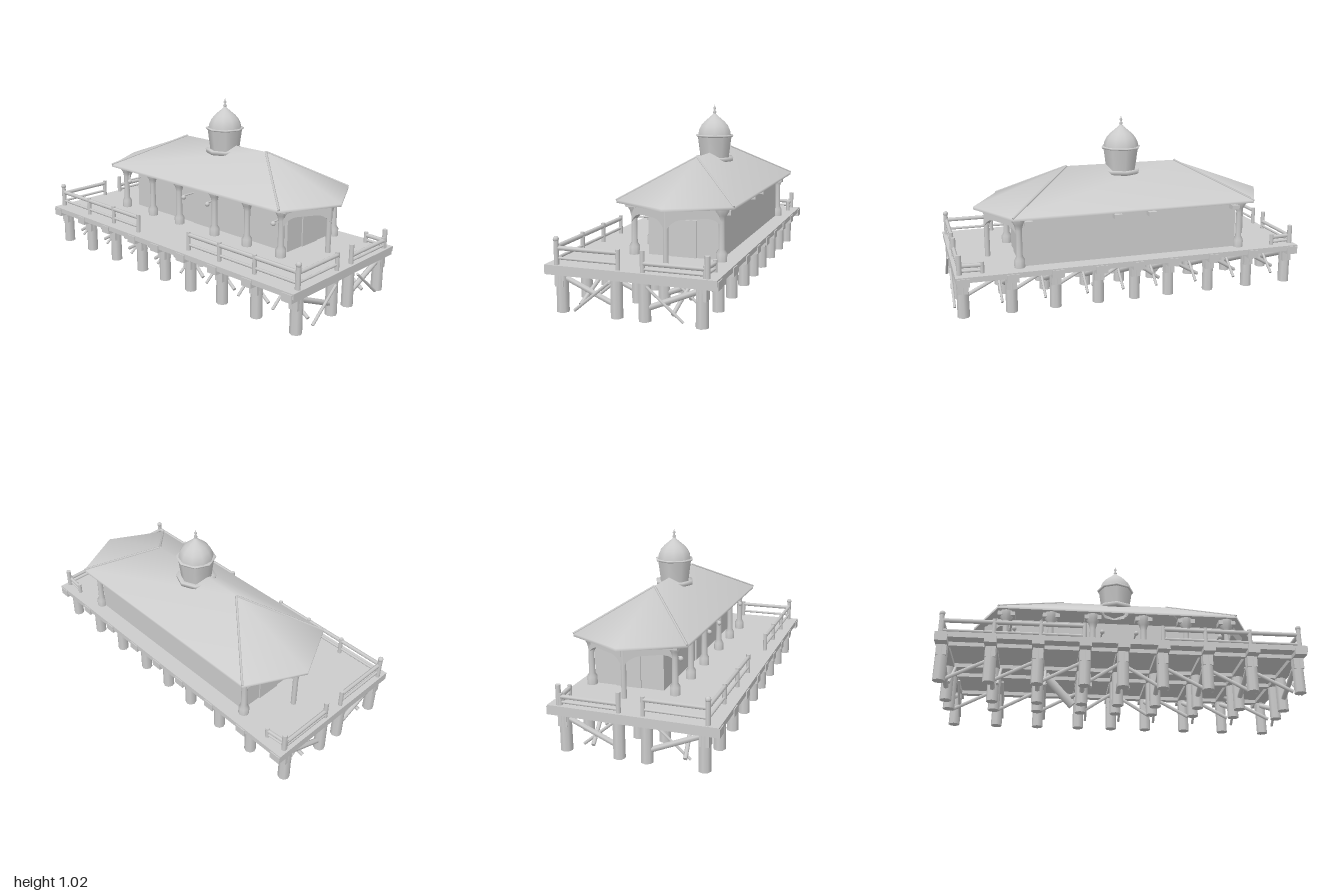
import * as THREE from 'three';

export function createModel() {
  const root = new THREE.Group();
  const grey = new THREE.MeshStandardMaterial({ color: 0xcccccc, side: THREE.DoubleSide });
  grey.name = 'plain grey';

  const add = (name, geometry, x = 0, y = 0, z = 0, parent = root) => {
    const m = new THREE.Mesh(geometry, grey);
    m.name = name;
    m.position.set(x, y, z);
    parent.add(m);
    return m;
  };
  const group = (name) => {
    const g = new THREE.Group();
    g.name = name;
    root.add(g);
    return g;
  };
  const box = (name, w, h, d, x, y, z, parent) =>
    add(name, new THREE.BoxGeometry(w, h, d), x, y, z, parent);
  // Round timber between two points
  const rod = (name, a, b, r, parent, sides = 6) => {
    const p = new THREE.Vector3(...a), q = new THREE.Vector3(...b);
    const m = add(name, new THREE.CylinderGeometry(r, r, p.distanceTo(q), sides), 0, 0, 0, parent);
    m.position.copy(p).add(q).multiplyScalar(0.5);
    m.quaternion.setFromUnitVectors(new THREE.Vector3(0, 1, 0), q.sub(p).normalize());
    return m;
  };
  const lathe = (points, sides) =>
    new THREE.LatheGeometry(points.map(([r, y]) => new THREE.Vector2(r, y)), sides);

  // Deck and its joists
  const deck = group('deck');
  box('deckFloor', 2, 0.03, 0.91, 0, 0.237, 0, deck);
  const columns = [-0.965, -0.71, -0.46, -0.21, -0.005, 0.21, 0.455, 0.7, 0.96];
  const rows = [0.375, 0.075, -0.075, -0.37];
  for (const x of columns) box('crossBeam', 0.065, 0.045, 0.92, x, 0.222, 0, deck);
  for (const z of rows) box('longBeam', 1.98, 0.03, 0.03, 0, 0.215, z, deck);

  // Piles
  const piles = group('piles');
  for (const x of columns) {
    for (const z of rows) {
      add('pile', new THREE.CylinderGeometry(0.032, 0.033, 0.2, 8), x, 0.105, z, piles);
      if (Math.abs(z) > 0.2) box('pileCap', 0.055, 0.06, 0.05, x, 0.17, z + Math.sign(z) * 0.005, piles);
    }
  }
  rod('leaningPile', [-0.42, 0.19, 0.03], [-0.26, 0.02, 0.01], 0.025, piles, 8);

  // Diagonal braces under the deck
  const braces = group('braces');
  for (const x of columns) {
    for (const s of [1, -1]) {
      rod('crossBrace', [x, 0.185, s * 0.36], [x, 0.075, s * 0.1], 0.015, braces);
      rod('thinBrace', [x + 0.04, 0.03, s * 0.29], [x + 0.04, 0.19, s * 0.1], 0.008, braces);
    }
  }
  for (let i = 0; i < columns.length - 1; i++) {
    const left = i < 4;
    const high = left ? columns[i + 1] : columns[i];
    const low = left ? columns[i] : columns[i + 1];
    for (const z of [0.255, -0.24]) {
      rod('longBrace', [high, 0.2, z - 0.02], [low, 0.05, z + 0.02], 0.011, braces);
    }
  }

  // House walls and front door
  const house = group('house');
  box('walls', 1.26, 0.285, 0.4, 0, 0.39, -0.16, house);
  box('frontDoor', 0.17, 0.25, 0.008, -0.015, 0.375, 0.043, house);
  for (const s of [-1, 1]) box('endDoor', 0.008, 0.2, 0.14, s * 0.633, 0.35, -0.16, house);
  const lampShape = new THREE.SphereGeometry(0.014, 8, 6);
  for (const x of [-0.61, -0.1, 0.1, 0.6]) {
    add('lamp', lampShape, x, 0.435, 0.13, house);
    rod('lampArm', [x, 0.445, 0.04], [x, 0.445, 0.13], 0.005, house);
    box('backBracket', 0.045, 0.025, 0.05, x, 0.5, -0.385, house);
  }

  // Porch posts with a broad foot and flared head
  const porch = group('porch');
  const postShape = lathe([[0.03, 0.25], [0.03, 0.295], [0.018, 0.315], [0.017, 0.46],
    [0.025, 0.49], [0.04, 0.515], [0.04, 0.545]], 8);
  for (const x of [-0.66, -0.4, -0.155, 0.145, 0.4, 0.645]) {
    add('frontPost', postShape, x, 0, 0.115, porch);
    box('postHead', 0.1, 0.025, 0.06, x, 0.525, 0.115, porch);
  }
  for (const s of [-1, 1]) {
    add('backPost', postShape, s * 0.65, 0, -0.37, porch);
    rod('endPost', [s * 0.79, 0.25, -0.12], [s * 0.79, 0.55, -0.12], 0.015, porch, 8);
    for (const z of [0.115, -0.37]) {
      // Arched lintel from the corner post to the end post
      const dx = 0.14, dz = -0.12 - z, len = Math.hypot(dx, dz);
      const arch = new THREE.Shape();
      arch.moveTo(0, 0.545);
      arch.lineTo(0, 0.43);
      arch.quadraticCurveTo(0.03, 0.475, 0.08, 0.478);
      arch.lineTo(len - 0.08, 0.478);
      arch.quadraticCurveTo(len - 0.03, 0.475, len, 0.43);
      arch.lineTo(len, 0.545);
      const g = new THREE.ExtrudeGeometry(arch, { depth: 0.03, bevelEnabled: false, curveSegments: 5 });
      g.translate(0, 0, -0.015);
      const m = add('archedLintel', g, s * 0.65, 0, z, porch);
      m.rotation.y = Math.atan2(-dz, s * dx);
    }
  }

  // Hipped roof with pointed ends and a shallow eave
  const roof = group('roof');
  const eave = [[-0.705, 0.197], [0.69, 0.197], [0.86, -0.125], [0.69, -0.445], [-0.705, -0.445], [-0.87, -0.125]];
  const ridge = [[-0.33, 0.745, -0.125], [0.325, 0.745, -0.125]];
  const vertices = [...ridge, ...eave.map(([x, z]) => [x, 0.545, z]), ...eave.map(([x, z]) => [x, 0.53, z])];
  const index = [2, 3, 1, 2, 1, 0, 3, 4, 1, 4, 5, 1, 5, 6, 0, 5, 0, 1, 6, 7, 0, 7, 2, 0];
  for (let i = 0; i < 6; i++) {
    const j = (i + 1) % 6;
    index.push(8 + i, 8 + j, 2 + j, 8 + i, 2 + j, 2 + i);
  }
  const shell = new THREE.BufferGeometry();
  shell.setAttribute('position', new THREE.Float32BufferAttribute(vertices.flat(), 3));
  shell.setIndex(index);
  shell.computeVertexNormals();
  add('roofShell', shell, 0, 0, 0, roof);
  for (const [r, e] of [[0, 0], [1, 1], [1, 3], [0, 4]]) {
    rod('hipStrip', ridge[r], [eave[e][0], 0.545, eave[e][1]], 0.007, roof, 5);
  }

  // Cupola with drum, rim, pointed dome and finial
  const cupola = group('cupola');
  cupola.position.z = -0.125;
  add('cupolaBase', lathe([[0.085, 0.685], [0.113, 0.69], [0.117, 0.715], [0.09, 0.712]], 8), 0, 0, 0, cupola);
  add('cupolaDrum', lathe([[0.085, 0.68], [0.092, 0.74], [0.105, 0.835]], 8), 0, 0, 0, cupola);
  add('cupolaRim', lathe([[0.1, 0.832], [0.112, 0.834], [0.117, 0.844], [0.1, 0.845]], 8), 0, 0, 0, cupola);
  add('dome', lathe([[0.101, 0.843], [0.097, 0.868], [0.084, 0.896], [0.062, 0.921], [0.035, 0.943],
    [0.015, 0.96], [0.006, 0.972]], 10), 0, 0, 0, cupola);
  add('finial', lathe([[0.006, 0.965], [0.011, 0.978], [0.004, 0.988], [0.009, 1.0], [0.004, 1.008],
    [0, 1.023]], 8), 0, 0, 0, cupola);

  // Railings: runs of posts joined by two rails
  const railing = group('railing');
  const run = (points, heights) => {
    points.forEach(([x, z], i) => {
      rod('railPost', [x, 0.245, z], [x, heights[0] + 0.018, z], 0.012, railing, 8);
      if (i) for (const y of heights) {
        const [px, pz] = points[i - 1];
        rod('rail', [px, y, pz], [x, y, z], y === heights[0] ? 0.012 : 0.008, railing);
      }
    });
  };
  for (const s of [-1, 1]) {
    run([0.98, 0.7, 0.45, 0.215].map((x) => [s * x, 0.395]), [0.343, 0.285]);
    run([[s * 0.975, 0.395], [s * 0.975, 0.06]], [0.337, 0.285]);
    run([[s * 0.975, -0.07], [s * 0.975, -0.39], [s * 0.855, -0.4]], [0.297, 0.268]);
    rod('gatePost', [s * 0.975, 0.25, -0.07], [s * 0.975, 0.36, -0.07], 0.013, railing, 8);
    rod('backCornerPost', [s * 0.975, 0.25, -0.4], [s * 0.975, 0.36, -0.4], 0.014, railing, 8);
    rod('frontCornerPost', [s * 0.98, 0.25, 0.395], [s * 0.98, 0.375, 0.395], 0.013, railing, 8);
    add('cornerBall', new THREE.SphereGeometry(0.016, 8, 6), s * 0.98, 0.383, 0.395, railing);
  }
  return root;
}
